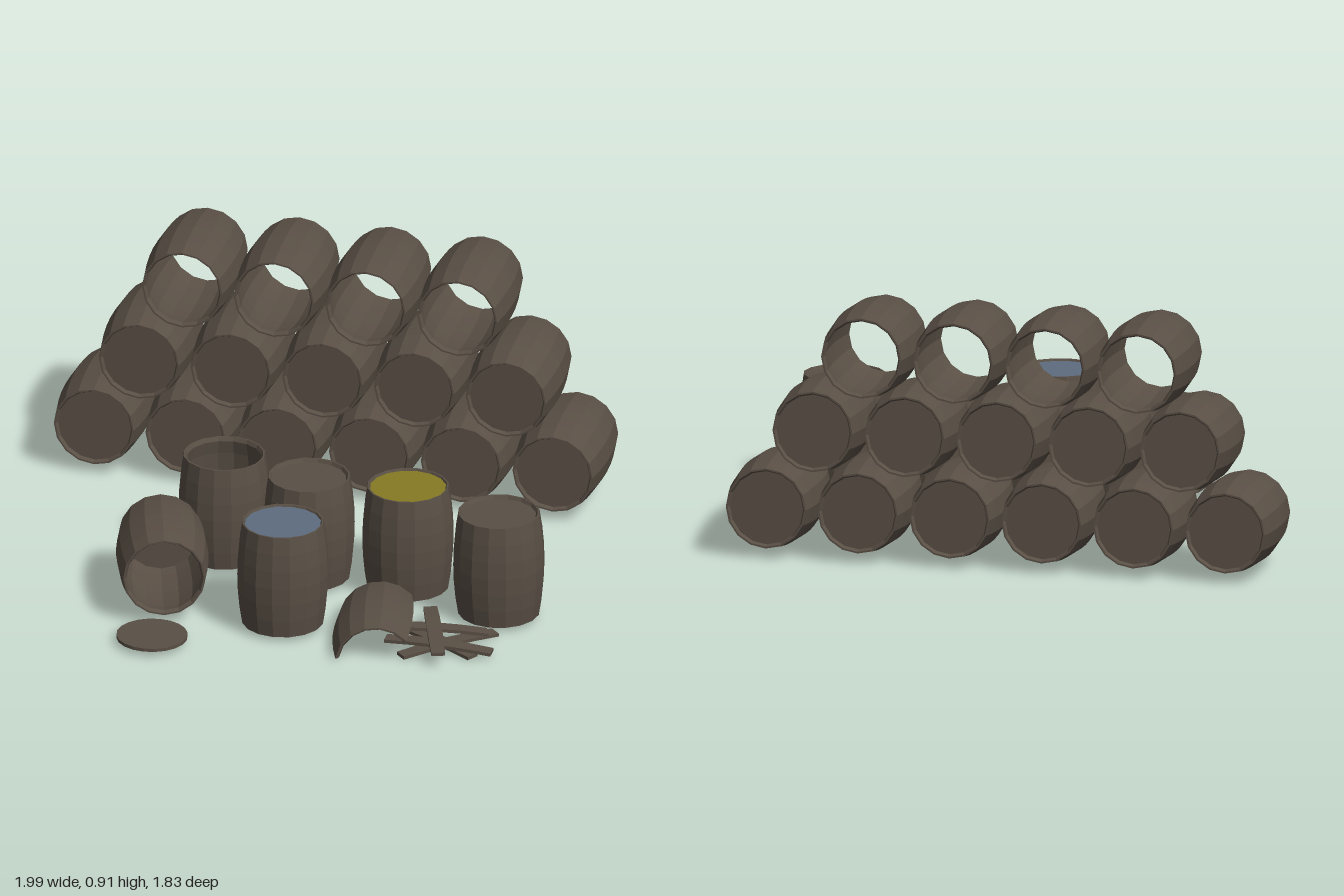
import * as THREE from 'three';

const wood = new THREE.MeshStandardMaterial({ color: 0x594f45, flatShading: true, side: THREE.DoubleSide });
wood.name = 'weathered wood';
const water = new THREE.MeshStandardMaterial({ color: 0x5d6c7f });
water.name = 'water blue';
const oil = new THREE.MeshStandardMaterial({ color: 0x857a23 });
oil.name = 'oil yellow';

const HALF = 0.193, SIDES = 16, STEPS = 6;
const radiusAt = (y) => 0.163 - 0.018 * (y / HALF) ** 2;

// Closed cross-section of the staves: outside upwards, bevelled rim, inside downwards
function staveProfile() {
  const points = [];
  const add = (r, y) => points.push(new THREE.Vector2(r, y));
  for (let i = 0; i <= STEPS; i++) {
    const y = HALF * (2 * i / STEPS - 1);
    add(radiusAt(y), y);
  }
  add(0.139, HALF);
  add(0.132, HALF - 0.014);
  for (let i = STEPS - 1; i > 0; i--) {
    const y = HALF * (2 * i / STEPS - 1);
    add(radiusAt(y) - 0.013, y);
  }
  add(0.132, -HALF + 0.014);
  add(0.139, -HALF);
  add(radiusAt(HALF), -HALF);
  return points;
}

const profile = staveProfile();
const wallGeometry = new THREE.LatheGeometry(profile, SIDES);
const headGeometry = new THREE.CylinderGeometry(0.134, 0.134, 0.01, SIDES);
const liquidGeometry = new THREE.CylinderGeometry(0.138, 0.138, 0.006, SIDES);

function addMesh(parent, name, geometry, material, y = 0) {
  const mesh = new THREE.Mesh(geometry, material);
  mesh.name = name;
  mesh.position.y = y;
  parent.add(mesh);
  return mesh;
}

// Barrel along y; top may be a head, a liquid surface or open
function barrel(name, { top = true, bottom = true, liquid = null } = {}) {
  const group = new THREE.Group();
  group.name = name;
  addMesh(group, 'staves', wallGeometry, wood);
  if (bottom) addMesh(group, 'bottomHead', headGeometry, wood, -HALF + 0.018);
  if (liquid) addMesh(group, 'liquid', liquidGeometry, liquid, HALF - 0.01);
  else if (top) addMesh(group, 'topHead', headGeometry, wood, HALF - 0.018);
  return group;
}

// Lays an upright part along z, then turns it about y
function lay(part, x, y, z, turn = 0, tilt = 0) {
  part.rotation.order = 'YXZ';
  part.rotation.set(Math.PI / 2 + tilt, turn, 0);
  part.position.set(x, y, z);
  return part;
}

// Broken wall section with closed cut edges
function brokenShell() {
  const group = new THREE.Group();
  group.name = 'brokenBarrelShell';
  const start = THREE.MathUtils.degToRad(131), sweep = THREE.MathUtils.degToRad(130);
  addMesh(group, 'brokenStaves', new THREE.LatheGeometry(profile, 6, start, sweep), wood);
  for (const angle of [start, start + sweep]) {
    const edge = new THREE.ShapeGeometry(new THREE.Shape(profile));
    edge.rotateY(angle - Math.PI / 2);
    addMesh(group, 'cutEdge', edge, wood);
  }
  return group;
}

// Loose stave, slightly narrower at the ends and gently bowed
function looseStave() {
  const geometry = new THREE.BoxGeometry(0.386, 0.012, 0.054, 4, 1, 1);
  const p = geometry.attributes.position;
  for (let i = 0; i < p.count; i++) {
    const t = (p.getX(i) / 0.193) ** 2;
    p.setY(i, p.getY(i) + 0.008 * (0.5 - t));
    p.setZ(i, p.getZ(i) * (1 - 0.1 * t));
  }
  geometry.computeVertexNormals();
  return geometry;
}

export function createModel() {
  const model = new THREE.Group();
  model.name = 'barrelYard';

  // Stacked rows: count, first x, height, z, tilt, closed ends
  const rows = [
    ['bottomRow', 6, -0.835, 0.183, -0.712, 0, true],
    ['middleRow', 5, -0.67, 0.463, -0.706, 0.025, true],
    ['topRow', 4, -0.517, 0.747, -0.722, 0, false],
  ];
  for (const [name, count, x, y, z, tilt, closed] of rows) {
    const row = new THREE.Group();
    row.name = name;
    for (let i = 0; i < count; i++) {
      row.add(lay(barrel('stackedBarrel', { top: closed, bottom: closed }), x + i * 0.333, y, z, 0, tilt));
    }
    model.add(row);
  }

  // Standing barrels
  const standing = [
    ['openBarrel', -0.225, 0.042, { top: false, bottom: false }],
    ['closedBarrelMiddle', 0.108, 0.145, {}],
    ['oilBarrel', 0.467, 0.145, { liquid: oil }],
    ['closedBarrelLeft', 0.83, 0.282, {}],
    ['waterBarrel', 0.108, 0.537, { liquid: water }],
  ];
  for (const [name, x, z, options] of standing) {
    const b = barrel(name, options);
    b.position.set(x, 0.212, z);
    model.add(b);
  }

  // Toppled barrel and its loose lid
  model.add(lay(barrel('toppledBarrel', { top: false }), -0.353, 0.178, 0.44, 0.272));
  const lid = addMesh(model, 'looseLid', new THREE.CylinderGeometry(0.126, 0.126, 0.012, 20), wood, 0.027);
  lid.position.set(-0.307, 0.027, 0.785);

  // Broken barrel with scattered staves: x, y, z, turn, lean
  model.add(lay(brokenShell(), 0.465, -0.006, 0.58, 0.19));
  const staveGeometry = looseStave();
  const staves = [
    [0.66, 0.012, 0.55, -0.55, 0],
    [0.715, 0.012, 0.57, 0.76, 0],
    [0.695, 0.03, 0.625, 0, -0.03],
    [0.655, 0.048, 0.535, 0.35, -0.12],
    [0.666, 0.058, 0.572, -1.26, 0],
  ];
  for (const [x, y, z, turn, lean] of staves) {
    const stave = addMesh(model, 'looseStave', staveGeometry, wood);
    stave.rotation.order = 'YXZ';
    stave.rotation.set(0, turn, lean);
    stave.position.set(x, y, z);
  }
  return model;
}
